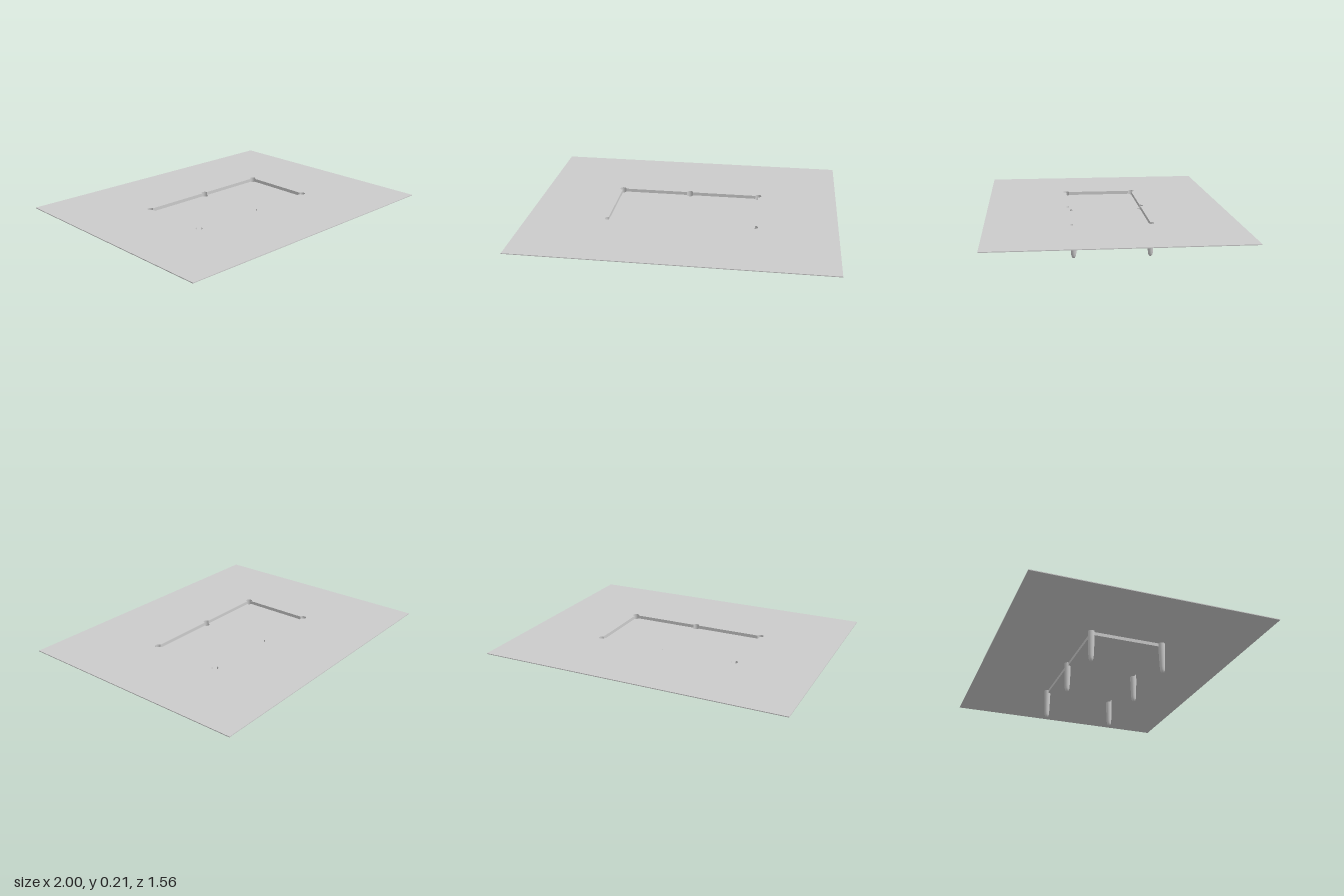
import * as THREE from 'three';

const W = 2, D = 1.56;            // sheet
const A = 0.475, B = 0.238;       // half size of the recessed panel
const R = 0.021;                  // leg radius at the top
const TOP = 0.211, FLOOR = 0.189, THICK = 0.005;

// Leg sockets in order around the panel: x, y in plan, heading on arrival, turn
const P = Math.PI;
const SOCKETS = [
  [A, -B, 0, P / 2], [A, B, P / 2, P / 2], [0, B, P, 0],
  [-A, B, P, P / 2], [-A, -B, -P / 2, P / 2], [0, -B, 0, 0],
];

// Panel outline that passes outside or inside the round sockets
function outline(path, inside) {
  for (const [x, y, heading, turn] of SOCKETS) {
    path.absarc(x, y, R, heading + P, heading + turn + (inside ? 0 : 2 * P), inside);
  }
  path.closePath();
  return path;
}

// Horizontal plate with its upper face at the given height
function plate(shape, top) {
  const g = new THREE.ExtrudeGeometry(shape, { depth: THICK, bevelEnabled: false, curveSegments: 16 });
  return g.rotateX(-P / 2).translate(0, top - THICK, 0);
}

export function createModel() {
  const group = new THREE.Group();
  const material = new THREE.MeshStandardMaterial({ color: 0xcccccc, side: THREE.DoubleSide });
  const add = (name, geometry) => {
    const mesh = new THREE.Mesh(geometry, material);
    mesh.name = name;
    group.add(mesh);
    return mesh;
  };

  // Large thin sheet with an opening for the recess
  const sheet = new THREE.Shape([
    new THREE.Vector2(-W / 2, -D / 2), new THREE.Vector2(W / 2, -D / 2),
    new THREE.Vector2(W / 2, D / 2), new THREE.Vector2(-W / 2, D / 2),
  ]);
  sheet.holes.push(outline(new THREE.Path(), false));
  add('sheet', plate(sheet, TOP));

  // Shallow recessed panel
  add('recessedPanel', plate(outline(new THREE.Shape(), true), FLOOR));

  // Step walls between neighbouring legs
  const wallHeight = TOP - FLOOR + THICK;
  SOCKETS.forEach(([x, y], i) => {
    const [nx, ny] = SOCKETS[(i + 1) % SOCKETS.length];
    const length = Math.hypot(nx - x, ny - y) - 2 * R;
    const wall = add('stepWall', new THREE.PlaneGeometry(length, wallHeight));
    wall.position.set((x + nx) / 2, TOP - wallHeight / 2, -(y + ny) / 2);
    wall.rotation.y = Math.atan2(ny - y, nx - x);
  });

  // Hollow tapered legs with rounded feet, open at the top
  const profile = [
    [0, 0], [0.007, 0.002], [0.012, 0.009], [0.015, 0.02], [0.017, 0.04],
    [0.019, 0.09], [R, 0.15], [R, FLOOR],
  ].map(([r, y]) => new THREE.Vector2(r, y));
  for (const [x, y, heading, turn] of SOCKETS) {
    add('leg', new THREE.LatheGeometry(profile, 24)).position.set(x, 0, -y);

    // Upper half-round collar rising to the sheet outside the panel
    const sweep = P + turn;
    const collar = new THREE.CylinderGeometry(R, R, TOP - FLOOR, 18, 1, true, heading + P + P / 2, sweep);
    add('socketCollar', collar).position.set(x, (TOP + FLOOR) / 2, -y);
  }
  return group;
}
